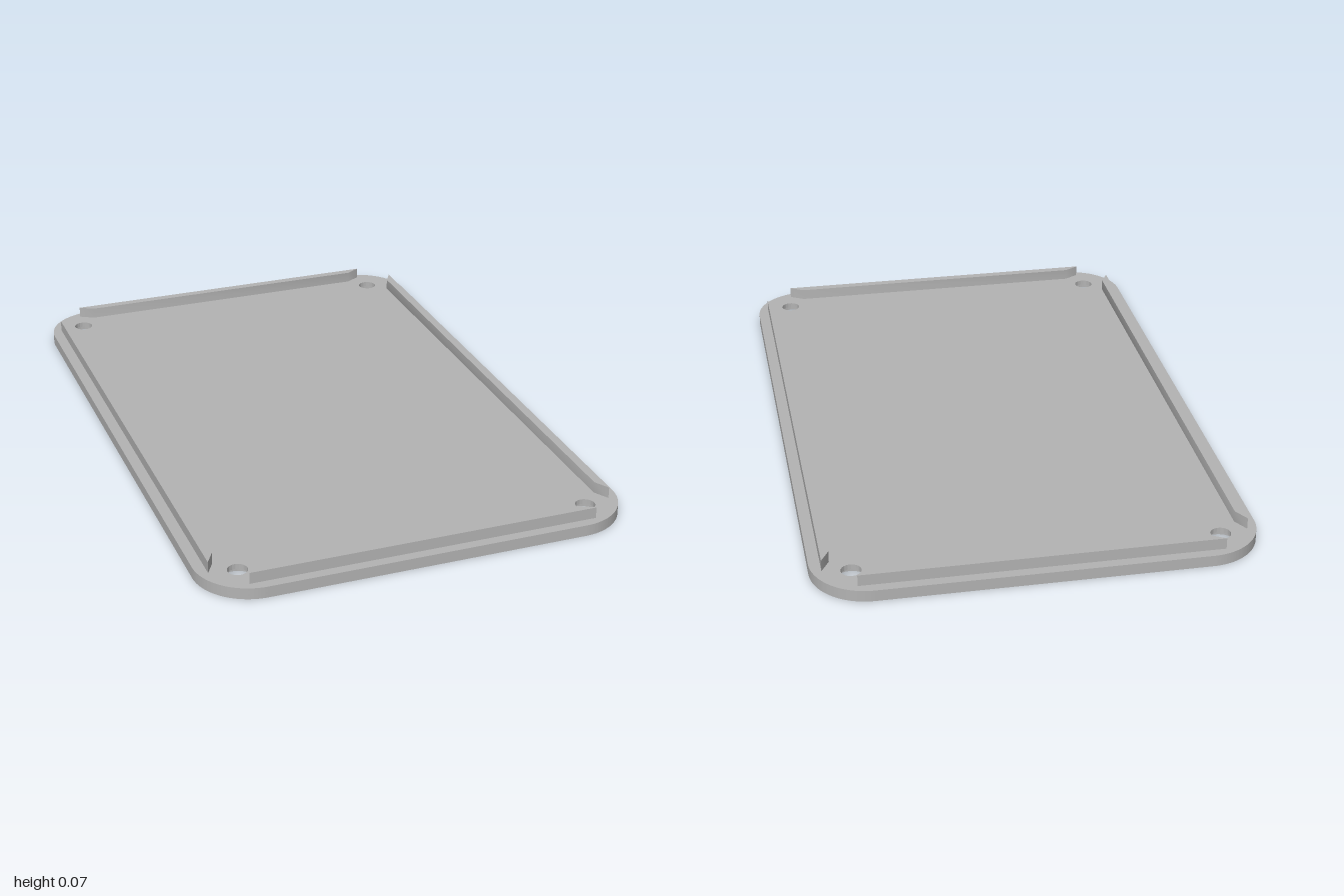
import * as THREE from 'three';
import { toCreasedNormals } from 'three/addons/utils/BufferGeometryUtils.js';

const W = 0.66, L = 1, R = 0.17;          // plate half width, half length, corner radius
const MID = 0.019, TOP = 0.035, RIB = 0.07; // recess depth, plate top, rib top
const RING_Z = -0.34, RING_IN = 0.518, RING_OUT = 0.634;

// Rounded plate outline in (x, z) with four screw holes of the given radius
function plateShape(holeRadius) {
  const s = new THREE.Shape();
  s.absarc(W - R, L - R, R, 0, Math.PI / 2);
  s.absarc(-W + R, L - R, R, Math.PI / 2, Math.PI);
  s.absarc(-W + R, -L + R, R, Math.PI, Math.PI * 1.5);
  s.absarc(W - R, -L + R, R, Math.PI * 1.5, Math.PI * 2);
  s.closePath();
  for (const x of [-0.543, 0.543]) for (const z of [-0.885, 0.885]) {
    s.holes.push(new THREE.Path().absarc(x, z, holeRadius, 0, Math.PI * 2));
  }
  return s;
}

// Extrude an (x, z) shape upward between two heights
function slab(shape, y0, y1) {
  const g = new THREE.ExtrudeGeometry(shape, { depth: y1 - y0, bevelEnabled: false, curveSegments: 48 });
  g.rotateX(Math.PI / 2).translate(0, y1, 0);
  return toCreasedNormals(g, 0.6);
}

export function createModel() {
  const group = new THREE.Group();
  const grey = new THREE.MeshStandardMaterial({ color: 0xb3b3b3 });
  grey.name = 'grey plastic';
  const add = (name, geometry) => {
    const mesh = new THREE.Mesh(geometry, grey);
    mesh.name = name;
    group.add(mesh);
    return mesh;
  };

  // Upper layer with the narrow screw holes
  add('plateTop', slab(plateShape(0.03), MID, TOP));

  // Lower layer with counterbores and the keyhole-shaped ring recess
  const lower = plateShape(0.05);
  const a = Math.asin(0.06 / RING_OUT);
  const recess = new THREE.Path();
  recess.absarc(0, RING_Z, RING_OUT, Math.PI / 2 + a, Math.PI * 2.5 - a);
  recess.lineTo(0.06, 0.447);
  recess.lineTo(-0.06, 0.447);
  recess.closePath();
  lower.holes.push(recess);
  add('plateBottom', slab(lower, 0, MID));

  // Disc inside the ring recess
  add('ringCentre', slab(new THREE.Shape().absarc(0, RING_Z, RING_IN, 0, Math.PI * 2), 0, MID));

  // Locating ribs with mitred ends: half length and outer face position
  const rib = (half, outer) => slab(new THREE.Shape([
    new THREE.Vector2(-half, outer), new THREE.Vector2(-half + 0.045, outer - 0.026),
    new THREE.Vector2(half - 0.045, outer - 0.026), new THREE.Vector2(half, outer),
  ]), TOP, RIB);
  const endRib = rib(0.535, 0.969), sideRib = rib(0.875, 0.626);
  add('frontRib', endRib);
  add('backRib', endRib).rotation.y = Math.PI;
  add('leftRib', sideRib).rotation.y = Math.PI / 2;
  add('rightRib', sideRib).rotation.y = -Math.PI / 2;

  return group;
}
